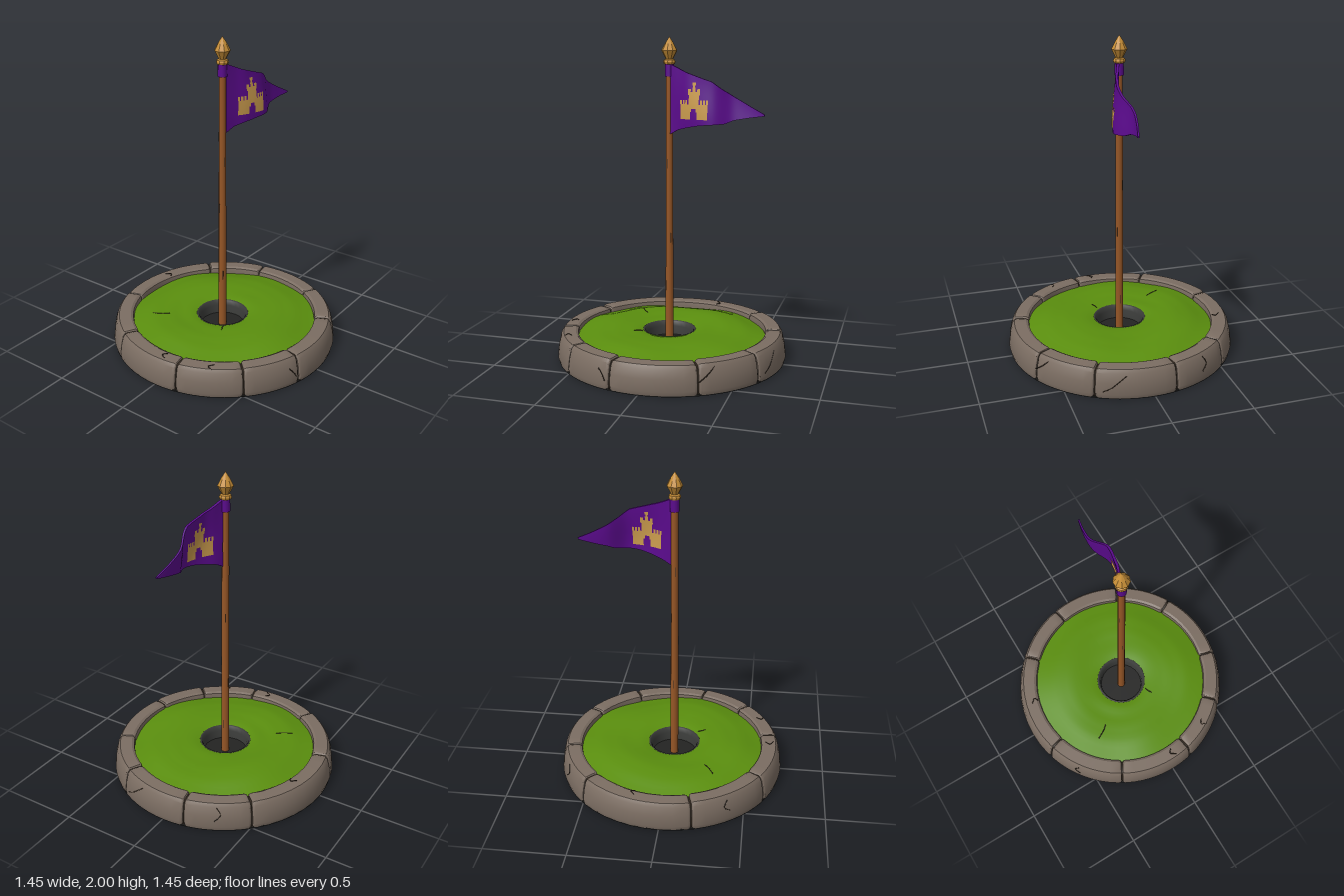
import * as THREE from 'three';
import { toCreasedNormals } from 'three/addons/utils/BufferGeometryUtils.js';

const material = (name, color, side = THREE.FrontSide) => {
  const m = new THREE.MeshStandardMaterial({ color, side });
  m.name = name;
  return m;
};
const rad = THREE.MathUtils.degToRad;
const lerp = THREE.MathUtils.lerp;
const POLE_X = -0.016;

// Linear interpolation in a short list of [x, value] pairs
function sample(list, x) {
  for (let i = 1; i < list.length; i++) {
    const [a, va] = list[i - 1], [b, vb] = list[i];
    if (x <= b) return lerp(va, vb, THREE.MathUtils.clamp((x - a) / (b - a), 0, 1));
  }
  return list[list.length - 1][1];
}

// Move every vertex by a rule
function warp(geometry, rule) {
  const p = geometry.attributes.position, v = new THREE.Vector3();
  for (let i = 0; i < p.count; i++) {
    rule(v.fromBufferAttribute(p, i));
    p.setXYZ(i, v.x, v.y, v.z);
  }
  geometry.computeVertexNormals();
  return geometry;
}

// Stone cross-section as [radius, height], counter-clockwise
const STONE = [[0.6, 0.005], [0.716, 0.005], [0.723, 0.03], [0.714, 0.1], [0.7, 0.158],
  [0.685, 0.178], [0.61, 0.181], [0.594, 0.172], [0.59, 0.15]];

// One curved kerb stone with bevelled ends
function stoneGeometry(start, end, lift) {
  const centre = [0.65, 0.09], n = STONE.length, pos = [], idx = [];
  const a0 = start + 0.35, a1 = end - 0.35, steps = 8;
  const rings = [[a0, 0.14], [a0 + 0.5, 0.05]];
  for (let i = 0; i <= steps; i++) rings.push([lerp(a0 + 1.5, a1 - 1.5, i / steps), 0]);
  rings.push([a1 - 0.5, 0.05], [a1, 0.14]);
  const push = (a, r, y) => pos.push(r * Math.cos(rad(a)), y, r * Math.sin(rad(a)));
  for (const [a, k] of rings) {
    for (const [r, y] of STONE) {
      push(a, lerp(r, centre[0], k), lerp(y, centre[1], k) + (y > 0.12 ? lift : 0));
    }
  }
  const last = rings.length - 1, c0 = pos.length / 3;
  push(a0, ...centre);
  push(a1, ...centre);
  for (let j = 0; j < n; j++) {
    const k = (j + 1) % n;
    for (let i = 0; i < last; i++) {
      const A = i * n + j, B = i * n + k;
      idx.push(A, B, A + n, B, B + n, A + n);
    }
    idx.push(c0, k, j, c0 + 1, last * n + j, last * n + k);
  }
  const g = new THREE.BufferGeometry();
  g.setAttribute('position', new THREE.Float32BufferAttribute(pos, 3));
  g.setIndex(idx);
  return toCreasedNormals(g, 0.5);
}

// Grass height by distance from the centre, with soft lumps
const GRASS = [[0.16, 0.168], [0.2, 0.178], [0.35, 0.187], [0.46, 0.178], [0.53, 0.158], [0.6, 0.14]];
const grassHeight = (x, z) => {
  const r = Math.hypot(x, z);
  const fade = THREE.MathUtils.smoothstep(r, 0.17, 0.3);
  return sample(GRASS, r) + fade * 0.007 * (Math.sin(9 * x + 4 * z + 1) + 0.6 * Math.sin(13 * z - 6 * x));
};

// Pennant outline and sideways waves
const TOP = [[0, 1.835], [0.1, 1.79], [0.2, 1.757], [0.27, 1.735], [0.33, 1.69], [0.4, 1.645], [0.5, 1.59], [0.585, 1.547]];
const BOTTOM = [[0, 1.415], [0.05, 1.442], [0.12, 1.46], [0.2, 1.475], [0.35, 1.487], [0.4, 1.508], [0.5, 1.525], [0.585, 1.537]];
const WAVE = new THREE.SplineCurve([[-0.01, 0.01], [0.06, 0.035], [0.14, 0.07], [0.275, 0.097], [0.39, 0.055], [0.49, 0.062], [0.585, 0.085]]
  .map(([x, z]) => new THREE.Vector2(x, z))).getPoints(60).map(p => [p.x, p.y]);
const flagZ = (x, y) => sample(WAVE, x)
  + 0.012 * Math.min(1, x * 6) * Math.sin(11 * (y - 1.5) + 7 * x);

export function createModel() {
  const model = new THREE.Group();
  const stone = material('stone grey', 0x7b6d62);
  const grass = material('grass green', 0x5a8e0e);
  const wood = material('wood brown', 0x965626);
  const gold = material('gold', 0xc48c36);
  const purple = material('flag purple', 0x5a0a8c);
  const emblemGold = material('emblem gold', 0xcb9c4e, THREE.DoubleSide);
  const black = material('black', 0x232322);
  const rimGrey = material('dark rim grey', 0x3b3c3a);
  const crackBrown = material('crack brown', 0x33291f);

  const add = (name, geometry, mat, parent = model) => {
    const mesh = new THREE.Mesh(geometry, mat);
    mesh.name = name;
    parent.add(mesh);
    return mesh;
  };
  const group = name => {
    const g = new THREE.Group();
    g.name = name;
    model.add(g);
    return g;
  };
  const lathe = (points, sides) =>
    new THREE.LatheGeometry(points.map(([r, y]) => new THREE.Vector2(r, y)), sides);

  // Ring of nine uneven stones over a dark mortar core
  const kerb = group('stoneRing');
  const joints = [-11.5, 29, 62, 104.6, 134.5, 168, 210, 254, 314.5, 348.5];
  for (let i = 0; i < 9; i++) {
    add('kerbStone', stoneGeometry(joints[i], joints[i + 1], 0.003 * Math.sin(i * 2.4)), stone, kerb);
  }
  add('mortar', lathe([[0.6, 0.006], [0.708, 0.006], [0.708, 0.04], [0.688, 0.15], [0.675, 0.168], [0.615, 0.168], [0.6, 0.14]], 64), crackBrown, kerb);
  add('underside', new THREE.CylinderGeometry(0.716, 0.716, 0.008, 64).translate(0, 0.004, 0), black);

  // Lawn
  const lawn = new THREE.RingGeometry(0.16, 0.6, 56, 14).rotateX(-Math.PI / 2);
  add('lawn', warp(lawn, v => {
    const r = Math.hypot(v.x, v.z);
    v.y = grassHeight(v.x, v.z);
    v.x += POLE_X * (1 - THREE.MathUtils.smoothstep(r, 0.16, 0.35));
  }), grass);

  // Hole
  add('holeRim', lathe([[0.172, 0.165], [0.165, 0.173], [0.156, 0.168], [0.145, 0.14], [0.142, 0.08]], 24), rimGrey).position.x = POLE_X;
  add('holeFloor', new THREE.CircleGeometry(0.145, 24).rotateX(-Math.PI / 2).translate(POLE_X, 0.085, 0), black);

  // Cracks in the stones (degrees, radius, height) and the lawn
  const cracks = group('cracks');
  const crack = points => add('crack', new THREE.TubeGeometry(
    new THREE.CatmullRomCurve3(points.map(p => new THREE.Vector3(...p))), 12, 0.003, 4), crackBrown, cracks);
  const polar = ([a, r, y]) => [r * Math.cos(rad(a)), y, r * Math.sin(rad(a))];
  [
    [[25, 0.721, 0.045], [21, 0.718, 0.07], [18, 0.713, 0.1], [13.5, 0.702, 0.145]],
    [[110.5, 0.711, 0.12], [108, 0.716, 0.085], [106.5, 0.72, 0.055]],
    [[62, 0.717, 0.08], [58, 0.711, 0.115], [54, 0.698, 0.16]],
    [[176, 0.67, 0.179], [179, 0.645, 0.18], [177, 0.62, 0.181]],
    [[235, 0.701, 0.155], [237, 0.712, 0.11], [234, 0.716, 0.08]],
    [[285, 0.6, 0.178], [287, 0.62, 0.182], [284, 0.645, 0.182]],
    [[332, 0.7, 0.158], [330, 0.712, 0.11], [333, 0.718, 0.07]],
    [[150, 0.688, 0.175], [152, 0.66, 0.18], [149, 0.64, 0.18]],
  ].forEach(c => crack(c.map(polar)));
  [[[-0.3, -0.355], [-0.27, -0.3], [-0.24, -0.262]], [[-0.21, 0.135], [-0.185, 0.12], [-0.16, 0.112]]]
    .forEach(c => crack(c.map(([x, z]) => [x, grassHeight(x, z), z])));

  // Pole with grain marks
  add('pole', new THREE.CylinderGeometry(0.021, 0.026, 1.76, 12).translate(POLE_X, 0.96, 0), wood);
  const grain = group('woodGrain');
  for (let i = 0; i < 9; i++) {
    const a = i * 2.4, y = 0.3 + i * 0.155, r = lerp(0.026, 0.021, (y - 0.08) / 1.76) - 0.001;
    add('grainMark', new THREE.BoxGeometry(0.003, 0.06, 0.003)
      .translate(POLE_X + r * Math.cos(a), y, r * Math.sin(a)), crackBrown, grain);
  }

  // Faceted finial and collar
  const facets = points => toCreasedNormals(lathe(points, 9), 0.2);
  add('collar', facets([[0.02, 1.832], [0.034, 1.838], [0.038, 1.85], [0.034, 1.862], [0.022, 1.868]]), gold).position.x = POLE_X;
  add('finial', facets([[0.02, 1.862], [0.026, 1.875], [0.049, 1.918], [0.026, 1.962], [0.0005, 2]]), gold).position.x = POLE_X;

  // Pennant and its sleeve
  const flag = group('flag');
  add('sleeve', new THREE.CylinderGeometry(0.027, 0.029, 0.075, 12).translate(POLE_X, 1.8, 0), purple, flag);
  add('pennant', warp(new THREE.BoxGeometry(1, 1, 1, 48, 14, 1), v => {
    const x = lerp(-0.005, 0.585, v.x + 0.5);
    const y = lerp(sample(BOTTOM, x), sample(TOP, x), v.y + 0.5);
    const thickness = lerp(0.018, 0.01, v.x + 0.5);
    v.set(x, y, flagZ(x, y) + v.z * thickness);
  }), purple, flag);

  // Castle emblem on both sides: [left, right, bottom, top] patches that follow the cloth
  const emblem = group('castleEmblem');
  const patches = [
    [0.07, 0.138, 1.51, 1.6], [0.182, 0.25, 1.51, 1.6], [0.138, 0.182, 1.575, 1.6],
    [0.138, 0.146, 1.555, 1.575], [0.174, 0.182, 1.555, 1.575],
    [0.128, 0.194, 1.6, 1.67], [0.122, 0.2, 1.655, 1.675],
    [0.122, 0.14, 1.675, 1.692], [0.151, 0.171, 1.675, 1.7], [0.182, 0.2, 1.675, 1.692],
    [0.155, 0.167, 1.7, 1.715], [0.15, 0.173, 1.712, 1.73],
  ];
  for (const x of [0.066, 0.086, 0.104, 0.202, 0.221, 0.24]) patches.push([x, x + 0.013, 1.6, 1.625]);
  for (const side of [1, -1]) {
    for (const [l, r, b, t] of patches) {
      const patch = new THREE.PlaneGeometry(r - l, t - b, 4, 4);
      if (side < 0) patch.rotateY(Math.PI);
      patch.translate((l + r) / 2, (b + t) / 2, 0);
      add('emblemPatch', warp(patch, v => { v.z = flagZ(v.x, v.y) + side * 0.0115; }), emblemGold, emblem);
    }
  }
  return model;
}
